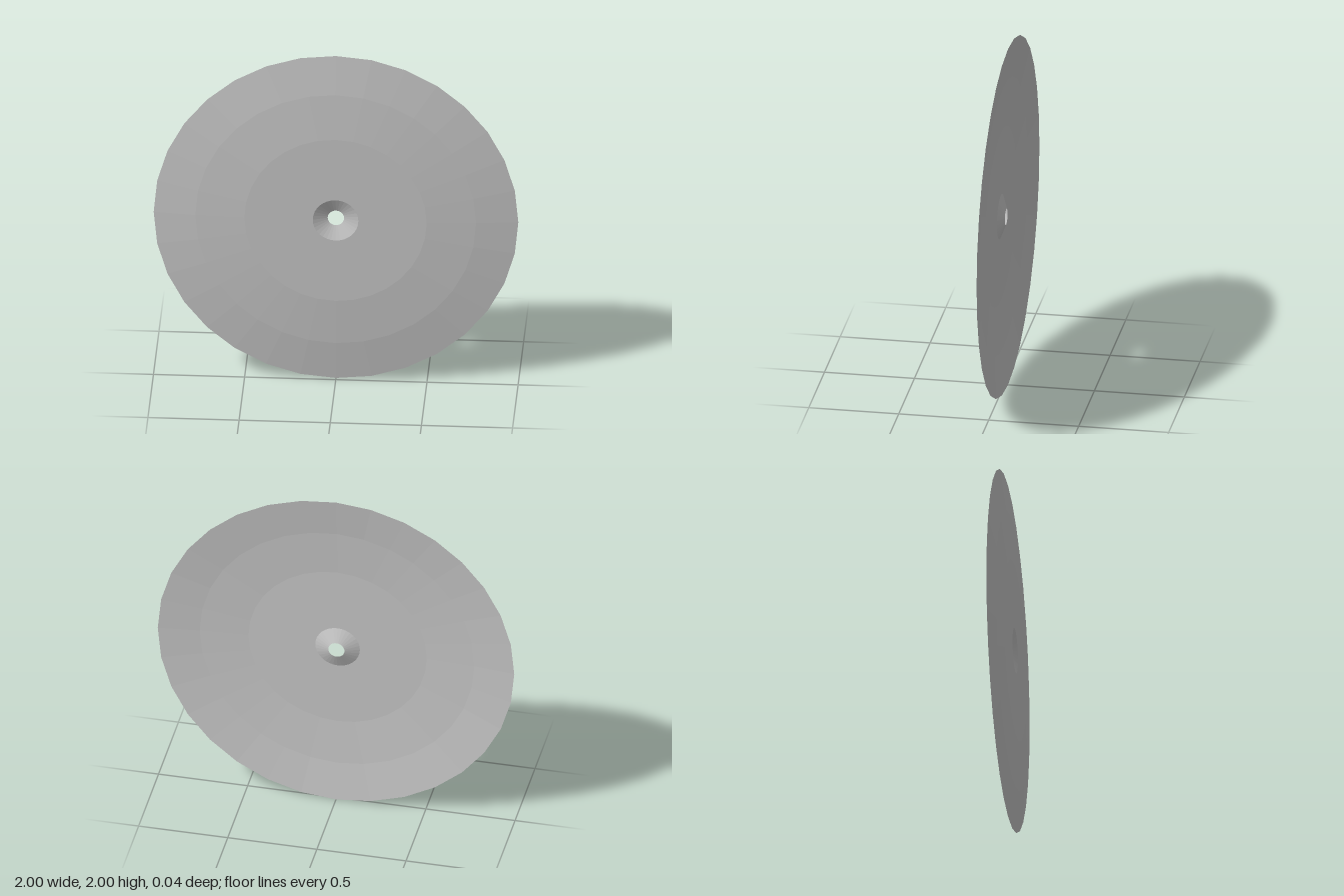
import * as THREE from 'three';

export function createModel() {
  const group = new THREE.Group();
  group.name = 'dishedDisc';

  // Thin shell profile from rim to hole: [radius, height towards the front]
  const profile = [
    [1, -0.02],      // rim
    [0.77, 0.005],   // outer slope
    [0.5, 0.02],     // edge of the flat face
    [0.125, 0.02],   // lip of the centre dimple
    [0.045, -0.01],  // centre hole
  ].map(([r, h]) => new THREE.Vector2(r, h));

  const geometry = new THREE.LatheGeometry(profile, 32);
  geometry.rotateX(Math.PI / 2); // face the front
  geometry.translate(0, 1, 0);

  const disc = new THREE.Mesh(geometry, new THREE.MeshStandardMaterial({
    color: 0xcccccc, flatShading: true, side: THREE.DoubleSide,
  }));
  disc.name = 'disc';
  group.add(disc);
  return group;
}
